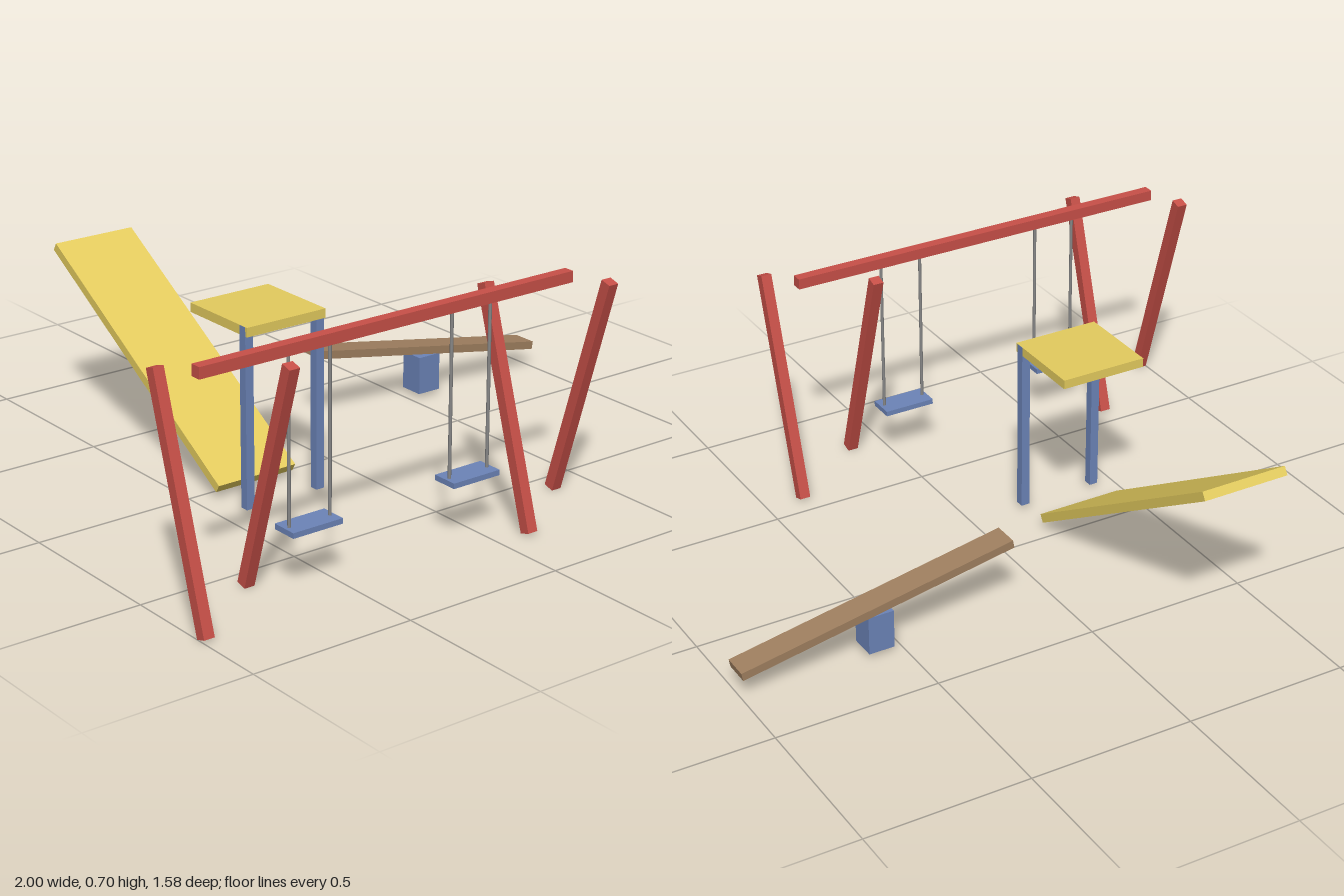
import * as THREE from 'three';

const paint = (color) => new THREE.MeshStandardMaterial({ color });

export function createModel() {
  const red = paint(0xc85048), blue = paint(0x6c84b8), yellow = paint(0xe4cc5e);
  const brown = paint(0xa08060), rope = paint(0x888888);

  const section = (name) => {
    const g = new THREE.Group();
    g.name = name;
    return g;
  };
  const box = (parent, name, mat, size, pos) => {
    const m = new THREE.Mesh(new THREE.BoxGeometry(...size), mat);
    m.name = name;
    m.position.set(...pos);
    parent.add(m);
    return m;
  };

  // Swing frame: legs leaning alternately back and forward under one beam
  const swings = section('swingSet');
  box(swings, 'swingBeam', red, [1.252, 0.033, 0.033], [-0.305, 0.686, 0.671]);
  [-0.984, -0.711, 0.106, 0.378].forEach((x, i) => {
    const leg = box(swings, 'swingLeg', red, [0.033, 0.705, 0.033], [x, 0.345, 0.672]);
    leg.rotation.x = i % 2 ? 0.295 : -0.295;
  });

  // Two swings, each a seat on two ropes
  for (const x of [-0.576, -0.031]) {
    box(swings, 'swingSeat', blue, [0.163, 0.016, 0.081], [x, 0.179, 0.668]);
    for (const side of [-1, 1]) {
      const line = new THREE.Mesh(new THREE.CylinderGeometry(0.005, 0.005, 0.49, 8), rope);
      line.name = 'swingRope';
      line.position.set(x + side * 0.067, 0.431, 0.671);
      swings.add(line);
    }
  }

  // Slide platform on two posts, with the separate sloping chute behind
  const slide = section('slide');
  box(slide, 'platform', yellow, [0.271, 0.028, 0.271], [-0.302, 0.55, 0.07]);
  for (const side of [-1, 1]) {
    box(slide, 'platformPost', blue, [0.027, 0.545, 0.027], [-0.302 + side * 0.1225, 0.291, 0.184]);
  }
  const chute = box(slide, 'slideChute', yellow, [0.271, 0.027, 0.98], [-0.302, 0.291, -0.364]);
  chute.rotation.x = 0.55;

  // Seesaw
  const seesaw = section('seesaw');
  box(seesaw, 'seesawBase', blue, [0.08, 0.12, 0.08], [0.568, 0.077, -0.259]);
  const plank = box(seesaw, 'seesawPlank', brown, [0.871, 0.025, 0.081], [0.569, 0.155, -0.259]);
  plank.rotation.z = -0.18;

  const model = section('playground');
  model.add(swings, slide, seesaw);
  return model;
}
